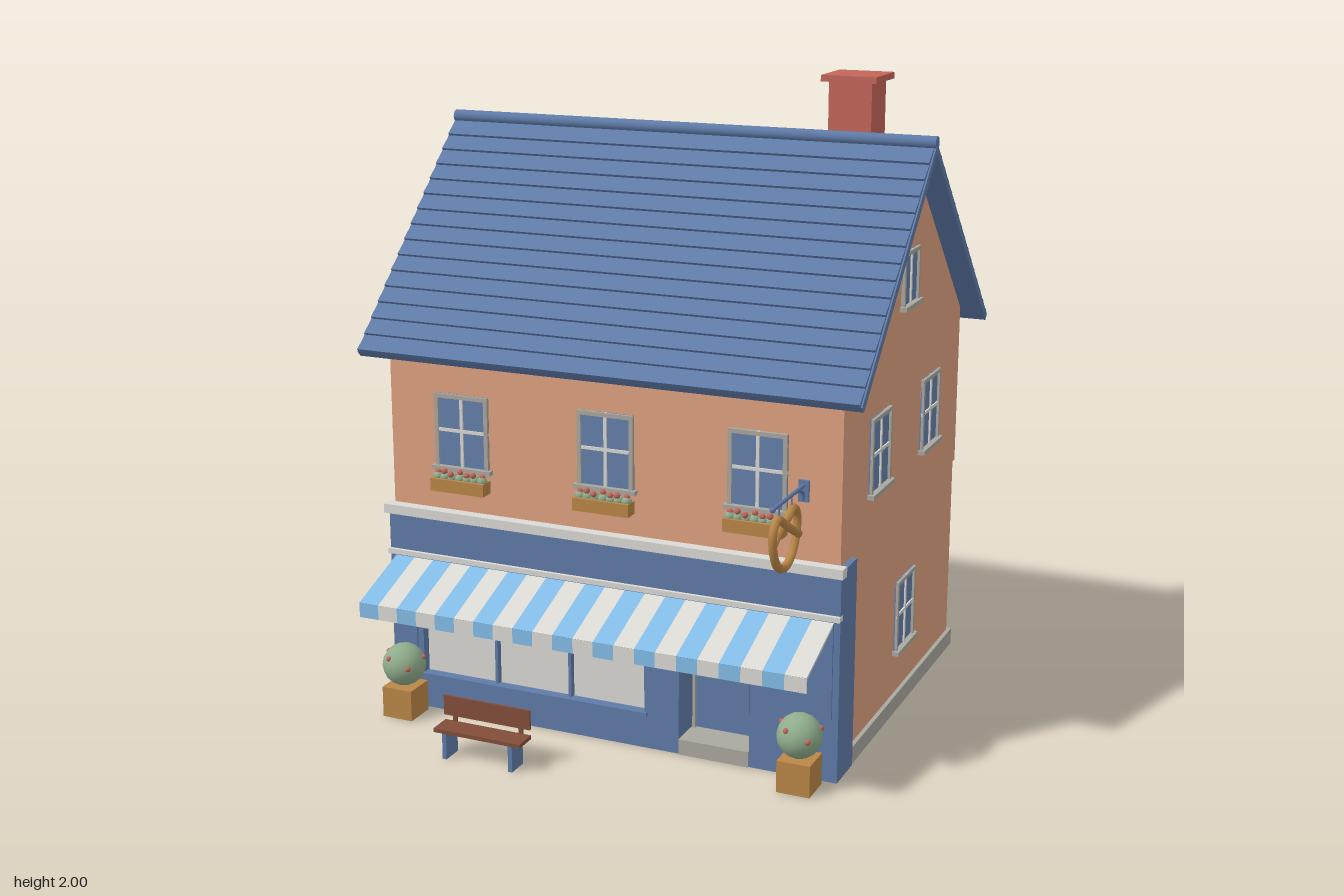
import * as THREE from 'three';

const mat = (name, color) => {
  const m = new THREE.MeshStandardMaterial({ color });
  m.name = name;
  return m;
};
const M = {
  wall: mat('peach plaster', 0xdda180),
  blue: mat('slate blue', 0x5f7ba8),
  glass: mat('window glass', 0x6580ab),
  white: mat('off white', 0xdad9d3),
  sky: mat('awning blue', 0x82bce6),
  stone: mat('grey stone', 0xaaa89f),
  wood: mat('golden wood', 0xba8647),
  brown: mat('dark wood', 0x824e3a),
  red: mat('brick red', 0xc4665a),
  green: mat('leaf green', 0x91ad8d),
};

function add(parent, name, geo, material, x = 0, y = 0, z = 0) {
  const mesh = new THREE.Mesh(geo, material);
  mesh.name = name;
  mesh.position.set(x, y, z);
  parent.add(mesh);
  return mesh;
}

// Box given by its limits on each axis
function box(parent, name, m, x0, x1, y0, y1, z0, z1) {
  return add(parent, name, new THREE.BoxGeometry(x1 - x0, y1 - y0, z1 - z0), m,
    (x0 + x1) / 2, (y0 + y1) / 2, (z0 + z1) / 2);
}

function group(parent, name, x = 0, y = 0, z = 0, ry = 0) {
  const g = new THREE.Group();
  g.name = name;
  g.position.set(x, y, z);
  g.rotation.y = ry;
  parent.add(g);
  return g;
}

function rectPath(P, x0, x1, y0, y1) {
  const p = new P();
  p.moveTo(x0, y0).lineTo(x1, y0).lineTo(x1, y1).lineTo(x0, y1).closePath();
  return p;
}

// Framed window facing +z, origin at the middle of its bottom edge
function windowUnit(parent, x, y, z, ry, w = 0.185, h = 0.24, cross = true) {
  const g = group(parent, 'window', x, y, z, ry), a = w / 2, f = 0.013;
  box(g, 'pane', M.glass, -a, a, 0, h, -0.005, 0.004);
  for (const s of [-1, 1]) box(g, 'frameSide', M.stone, s * (a - f / 2) - f / 2, s * (a - f / 2) + f / 2, 0, h, 0, 0.012);
  box(g, 'frameTop', M.stone, -a, a, h - f, h, 0, 0.012);
  box(g, 'mullion', M.white, -0.005, 0.005, 0, h, 0, 0.009);
  if (cross) box(g, 'crossbar', M.white, -a, a, h * 0.52 - 0.005, h * 0.52 + 0.005, 0, 0.009);
  box(g, 'sill', M.stone, -a - 0.01, a + 0.01, -0.004, 0.01, 0, 0.022);
}

function roofSlope(house, ry) {
  const g = group(house, 'roofSlope', 0, 1.79, -0.13);
  g.rotation.set(Math.PI / 4, ry, 0, 'YXZ');
  box(g, 'roofSlab', M.blue, -0.82, 0.82, 0, 0.024, -0.01, 0.9);
  for (let i = 0; i < 15; i++) {
    const row = box(g, 'tileRow', M.blue, -0.815, 0.815, 0.018, 0.033, i * 0.06, i * 0.06 + 0.06);
    row.rotation.x = -0.14;
  }
}

function shopfront(house) {
  const g = group(house, 'shopfront');
  // Blue front and the plaster wall behind it share the same openings
  const front = (name, m, w, y0, y1, z, depth) => {
    const s = rectPath(THREE.Shape, -w, w, y0, y1);
    s.holes.push(rectPath(THREE.Path, -0.645, 0.13, 0.115, 0.48), rectPath(THREE.Path, 0.245, 0.475, y0 + 0.005, 0.48));
    add(g, name, new THREE.ExtrudeGeometry(s, { depth, bevelEnabled: false }), m, 0, 0, z);
  };
  front('shopFacade', M.blue, 0.755, 0, 0.66, 0.335, 0.14);
  front('innerWall', M.wall, 0.735, 0.055, 0.67, 0.32, 0.014);
  add(g, 'displayPanes', new THREE.PlaneGeometry(0.775, 0.365), M.white, -0.2575, 0.2975, 0.445);
  for (const x of [-0.387, -0.129]) box(g, 'displayMullion', M.blue, x - 0.005, x + 0.005, 0.115, 0.48, 0.435, 0.465);
  box(g, 'displaySill', M.blue, -0.655, 0.14, 0.105, 0.118, 0.45, 0.485);
  box(g, 'cornice', M.white, -0.765, 0.765, 0.645, 0.675, 0.335 + 0.12, 0.492);
  box(g, 'fasciaTrim', M.white, -0.757, 0.757, 0.51, 0.526, 0.46, 0.487);
  for (const s of [-1, 1]) box(g, 'pilaster', M.blue, s * 0.7 - 0.035, s * 0.7 + 0.035, 0.2, 0.5, 0.47, 0.481);
  // Recessed entrance
  box(g, 'shopDoor', M.blue, 0.245, 0.475, 0.03, 0.48, 0.35, 0.37);
  box(g, 'doorPanel', M.blue, 0.285, 0.435, 0.1, 0.42, 0.37, 0.376);
  for (const x of [0.25, 0.463]) box(g, 'doorJamb', M.stone, x, x + 0.009, 0.03, 0.48, 0.37, 0.382);
  add(g, 'doorKnob', new THREE.SphereGeometry(0.011, 12, 8), M.wood, 0.43, 0.25, 0.385);
  box(g, 'shopStep', M.stone, 0.246, 0.474, 0, 0.05, 0.336, 0.48);

  const awning = group(house, 'awning');
  const n = 22, w = 1.47 / n;
  for (let i = 0; i < n; i++) {
    const x = -0.735 + i * w, m = i % 2 ? M.white : M.sky;
    const top = box(awning, 'awningStripe', m, x, x + w, 0.454, 0.462, 0.467, 0.707);
    top.rotation.x = 0.361;
    box(awning, 'awningValance', m, x, x + w, 0.372, 0.418, 0.695, 0.701);
  }
}

function pretzelSign(house) {
  const g = group(house, 'pretzelSign', 0.63, 0, 0);
  const tube = (name, pts, r, m) => add(g, name, new THREE.TubeGeometry(
    new THREE.CatmullRomCurve3(pts.map(([z, y, x = 0]) => new THREE.Vector3(x, y, z))), 64, r, 8), m);
  box(g, 'signPlate', M.blue, -0.016, 0.016, 0.855, 0.92, 0.455, 0.464);
  tube('signRod', [[0.455, 0.905], [0.71, 0.905]], 0.006, M.blue);
  tube('signBrace', [[0.46, 0.86], [0.472, 0.887], [0.51, 0.9], [0.55, 0.904]], 0.005, M.blue);
  add(g, 'rodTip', new THREE.SphereGeometry(0.009, 10, 8), M.blue, 0, 0.905, 0.71);
  for (const z of [0.56, 0.66]) box(g, 'hanger', M.blue, -0.002, 0.002, 0.86, 0.905, z - 0.002, z + 0.002);
  // Half the strand, mirrored to close the knot at the bottom
  const half = [[-0.088, -0.002, 0.008], [-0.04, 0.022, 0.01], [0, 0.045, 0.008], [0.025, 0.065, 0],
    [0.06, 0.082, 0], [0.093, 0.058, 0], [0.095, 0.005, 0], [0.06, -0.055, 0]];
  const strand = [...half, [0, -0.078, 0], ...half.slice().reverse().map(([u, v, x]) => [-u, v, -x])];
  tube('pretzel', strand.map(([u, v, x]) => [0.61 + u, 0.782 + v, x]), 0.013, M.wood);
}

function planter(house, x) {
  const g = group(house, 'planter', x, 0, 0.547);
  box(g, 'planterBox', M.wood, -0.052, 0.052, 0, 0.1, -0.052, 0.052);
  add(g, 'shrub', new THREE.IcosahedronGeometry(0.069, 2), M.green, 0, 0.168, 0);
  for (const [a, v] of [[-0.4, 0.5], [0.7, 0.1], [1.9, 0.4], [3.2, 0.2], [4.6, 0.5]]) {
    const r = 0.067 * Math.cos(v);
    add(g, 'blossom', new THREE.IcosahedronGeometry(0.009, 1), M.red, r * Math.sin(a), 0.168 + 0.067 * Math.sin(v), r * Math.cos(a));
  }
}

function flowerBox(house, x) {
  const g = group(house, 'flowerBox', x, 0.745, 0.455);
  box(g, 'box', M.wood, -0.093, 0.093, 0, 0.04, 0, 0.048);
  for (let i = 0; i < 7; i++) {
    const fx = -0.078 + i * 0.026;
    add(g, 'leaves', new THREE.IcosahedronGeometry(0.016, 1), M.green, fx, 0.043, 0.024);
    add(g, 'flower', new THREE.IcosahedronGeometry(0.01, 1), M.red, fx, 0.056 + (i % 2) * 0.006, 0.022 + (i % 3) * 0.007);
  }
}

function bench(house) {
  const g = group(house, 'bench');
  box(g, 'seat', M.brown, -0.425, -0.13, 0.084, 0.096, 0.725, 0.8);
  box(g, 'backrest', M.brown, -0.425, -0.13, 0.115, 0.178, 0.726, 0.733);
  for (const x of [-0.39, -0.165]) {
    box(g, 'benchLeg', M.blue, x - 0.007, x + 0.007, 0, 0.084, 0.728, 0.797);
    box(g, 'backPost', M.brown, x - 0.007, x + 0.007, 0.09, 0.17, 0.722, 0.728);
  }
}

export function createModel() {
  const house = new THREE.Group();
  house.name = 'house';

  // Hollow ground floor on a stone plinth, open underneath
  for (const s of [-1, 1]) {
    box(house, 'groundSideWall', M.wall, s * 0.73 - 0.01, s * 0.73 + 0.01, 0.05, 0.67, -0.715, 0.336);
    box(house, 'plinthSide', M.stone, s * 0.738 - 0.015, s * 0.738 + 0.015, 0, 0.055, -0.73, 0.345);
  }
  box(house, 'groundBackWall', M.wall, -0.74, 0.74, 0.05, 0.67, -0.715, -0.695);
  box(house, 'plinthBack', M.stone, -0.753, 0.753, 0, 0.055, -0.73, -0.7);

  // Upper floor with gables
  const gable = new THREE.Shape();
  gable.moveTo(-0.455, 0.67).lineTo(0.72, 0.67).lineTo(0.72, 1.2).lineTo(0.13, 1.79).lineTo(-0.455, 1.205).closePath();
  const upper = add(house, 'upperWalls', new THREE.ExtrudeGeometry(gable, { depth: 1.49, bevelEnabled: false }), M.wall, -0.745);
  upper.rotation.y = Math.PI / 2;

  // Roof, ridge and chimney
  for (const ry of [0, Math.PI]) roofSlope(house, ry);
  const ridge = add(house, 'ridge', new THREE.CylinderGeometry(0.02, 0.02, 1.64, 12), M.blue, 0, 1.826, -0.13);
  ridge.rotation.z = Math.PI / 2;
  box(house, 'chimney', M.red, 0.43, 0.57, 1.5, 1.98, -0.393, -0.255);
  box(house, 'chimneyCap', M.red, 0.41, 0.59, 1.98, 2, -0.415, -0.235);

  // Windows
  for (const x of [-0.493, -0.002, 0.487]) {
    windowUnit(house, x, 0.81, 0.455, 0);
    flowerBox(house, x);
  }
  for (const x of [0.52, 0.12, -0.4]) windowUnit(house, x, 0.81, -0.72, Math.PI);
  for (const x of [0.32, -0.28]) windowUnit(house, x, 0.195, -0.715, Math.PI);
  for (const s of [-1, 1]) {
    const ry = s * Math.PI / 2;
    for (const z of [0.125, -0.385]) windowUnit(house, s * 0.745, 0.81, z, ry);
    windowUnit(house, s * 0.74, 0.195, -0.19, ry);
    windowUnit(house, s * 0.745, 1.325, -0.13, ry, 0.155, 0.175, false);
  }

  // Back door and step
  const door = group(house, 'backDoor', -0.41, 0, -0.715, Math.PI);
  box(door, 'doorLeaf', M.blue, -0.09, 0.09, 0.03, 0.45, 0, 0.016);
  for (const s of [-1, 1]) {
    box(door, 'doorFrameSide', M.stone, s * 0.095 - 0.008, s * 0.095 + 0.008, 0.03, 0.46, 0, 0.02);
    box(door, 'doorPanel', M.blue, s * 0.042 - 0.03, s * 0.042 + 0.03, 0.1, 0.4, 0.016, 0.021);
  }
  box(door, 'doorFrameTop', M.stone, -0.103, 0.103, 0.444, 0.46, 0, 0.02);
  add(door, 'doorKnob', new THREE.SphereGeometry(0.01, 12, 8), M.wood, -0.07, 0.22, 0.026);
  box(door, 'backStep', M.stone, -0.143, 0.143, 0, 0.028, 0.01, 0.083);

  shopfront(house);
  pretzelSign(house);
  bench(house);
  for (const x of [-0.676, 0.662]) planter(house, x);
  return house;
}
